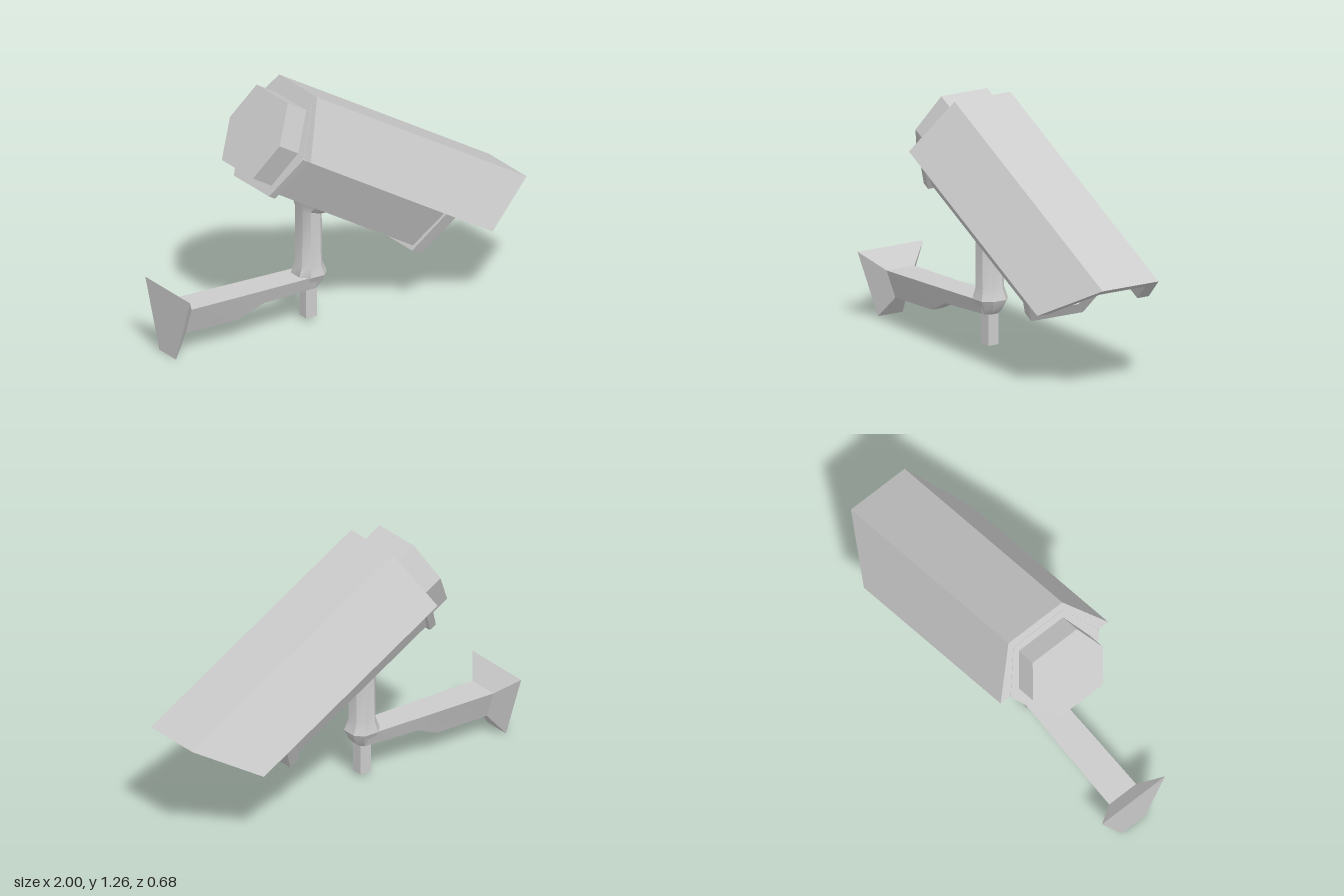
import * as THREE from 'three';
import { toCreasedNormals } from 'three/addons/utils/BufferGeometryUtils.js';

const material = new THREE.MeshStandardMaterial({ color: 0xcccccc, flatShading: true, side: THREE.DoubleSide });
const smoothMaterial = new THREE.MeshStandardMaterial({ color: 0xcccccc });
const AXIS = 0.68; // height of the camera axis in the tilted frame

function mesh(name, geometry, mat = material) {
  const m = new THREE.Mesh(geometry, mat);
  m.name = name;
  return m;
}

const toPoints = (list) => list.map(([z, v]) => new THREE.Vector2(z, v));

// Prism along the camera axis (+x) from a cross-section of [z, y] points
function prism(section, u0, u1, hole) {
  const shape = new THREE.Shape(toPoints(section));
  if (hole) shape.holes.push(new THREE.Path(toPoints(hole)));
  return new THREE.ExtrudeGeometry(shape, { depth: u1 - u0, bevelEnabled: false })
    .rotateY(Math.PI / 2)
    .translate(u0, 0, 0);
}

// Upright hexagon with flat top and bottom
function hexagon(bottom, top, flatHalf, midHalf, mid = (bottom + top) / 2) {
  return [[-flatHalf, bottom], [flatHalf, bottom], [midHalf, mid],
    [flatHalf, top], [-flatHalf, top], [-midHalf, mid]];
}

// Octagon with flat sides, given its apothem
function octagon(apothem) {
  const r = apothem / Math.cos(Math.PI / 8);
  return Array.from({ length: 8 }, (_, i) => {
    const a = (i + 0.5) * Math.PI / 4;
    return [r * Math.cos(a), AXIS + r * Math.sin(a)];
  });
}

// Closed skin over equal-length loops of [x, y, z] points
function loft(loops, crease) {
  const n = loops[0].length, last = (loops.length - 1) * n, index = [];
  for (let i = 0; i < loops.length - 1; i++) {
    for (let j = 0; j < n; j++) {
      const a = i * n + j, b = i * n + (j + 1) % n;
      index.push(a, b, b + n, a, b + n, a + n);
    }
  }
  for (let j = 1; j < n - 1; j++) {
    index.push(0, j + 1, j, last, last + j, last + j + 1);
  }
  const g = new THREE.BufferGeometry();
  g.setAttribute('position', new THREE.Float32BufferAttribute(loops.flat(2), 3));
  g.setIndex(index);
  return toCreasedNormals(g, crease);
}

function createCamera() {
  const camera = new THREE.Group();
  camera.name = 'cameraHead';
  camera.rotation.z = -Math.PI / 6;

  // Sun hood: folded shell whose front edge leans forward at the top
  const low = 0.676, high = 0.973;
  const hood = prism([[0.34, low], [0.17, high], [-0.17, high], [-0.34, low],
    [-0.27, low], [-0.14, 0.91], [0.14, 0.91], [0.27, low]], -0.83, 0.405);
  const p = hood.attributes.position;
  for (let i = 0; i < p.count; i++) {
    if (p.getX(i) > 0) p.setX(i, 0.405 + 0.189 * (p.getY(i) - low) / (high - low));
  }
  hood.computeVertexNormals();
  camera.add(mesh('hood', hood));

  // Housing with a collar at each end and a rear cap
  const collar = hexagon(0.427, 0.93, 0.157, 0.28, 0.67);
  camera.add(
    mesh('housing', prism(hexagon(0.451, 0.92, 0.145, 0.262, 0.67), -0.81, 0.143)),
    mesh('rearCollar', prism(collar, -0.832, -0.79)),
    mesh('frontCollar', prism(collar, 0.141, 0.203, hexagon(0.49, 0.87, 0.11, 0.21))),
    mesh('rearCap', prism(hexagon(0.48, 0.89, 0.14, 0.222), -0.958, -0.82)),
  );

  // Octagonal lens barrel with recessed glass
  camera.add(
    mesh('lensBarrel', prism(octagon(0.14), 0.14, 0.235, octagon(0.118))),
    mesh('lensGlass', prism(octagon(0.12), 0.14, 0.185)),
  );
  return camera;
}

function createMount() {
  const mount = new THREE.Group();
  mount.name = 'wallMount';

  // Arm flaring into the wall plate: [x, top, top half-width, bottom, bottom half-width]
  const arm = [
    [-1, 0.345, 0.2, 0, 0.075],
    [-0.915, 0.25, 0.085, 0.105, 0.032],
    [-0.61, 0.25, 0.082, 0.105, 0.032],
    [-0.47, 0.25, 0.08, 0.17, 0.055],
    [-0.16, 0.25, 0.075, 0.178, 0.05],
  ].map(([x, top, zt, bottom, zb]) =>
    [[x, top, -zt], [x, top, zt], [x, bottom, zb], [x, bottom, -zb]]);
  mount.add(mesh('arm', loft(arm, 0.5), smoothMaterial));

  // Post with elbow: [y, left x, right x, half-depth, slope of the ring]
  const post = [
    [0.175, -0.215, -0.135, 0.045, 0],
    [0.2, -0.24, -0.11, 0.055, 0],
    [0.25, -0.25, -0.09, 0.08, 0],
    [0.31, -0.23, -0.112, 0.065, 0],
    [0.585, -0.228, -0.115, 0.065, -0.3],
    [0.622, -0.242, -0.062, 0.11, -0.577],
  ].map(([y, x0, x1, hz, slope]) => {
    const cx = (x0 + x1) / 2, hx = (x1 - x0) / 2, c = 0.5;
    return [[-c, 1], [c, 1], [1, c], [1, -c], [c, -1], [-c, -1], [-1, -c], [-1, c]]
      .map(([dx, dz]) => [cx + dx * hx, y + slope * dx * hx, dz * hz]);
  });
  mount.add(mesh('post', loft(post, 0.6), smoothMaterial));

  // Peg under the elbow
  const peg = mesh('peg', new THREE.BoxGeometry(0.065, 0.18, 0.06));
  peg.position.set(-0.172, 0.107, 0);
  mount.add(peg);
  return mount;
}

export function createModel() {
  const model = new THREE.Group();
  model.name = 'securityCamera';
  model.add(createCamera(), createMount());
  return model;
}
